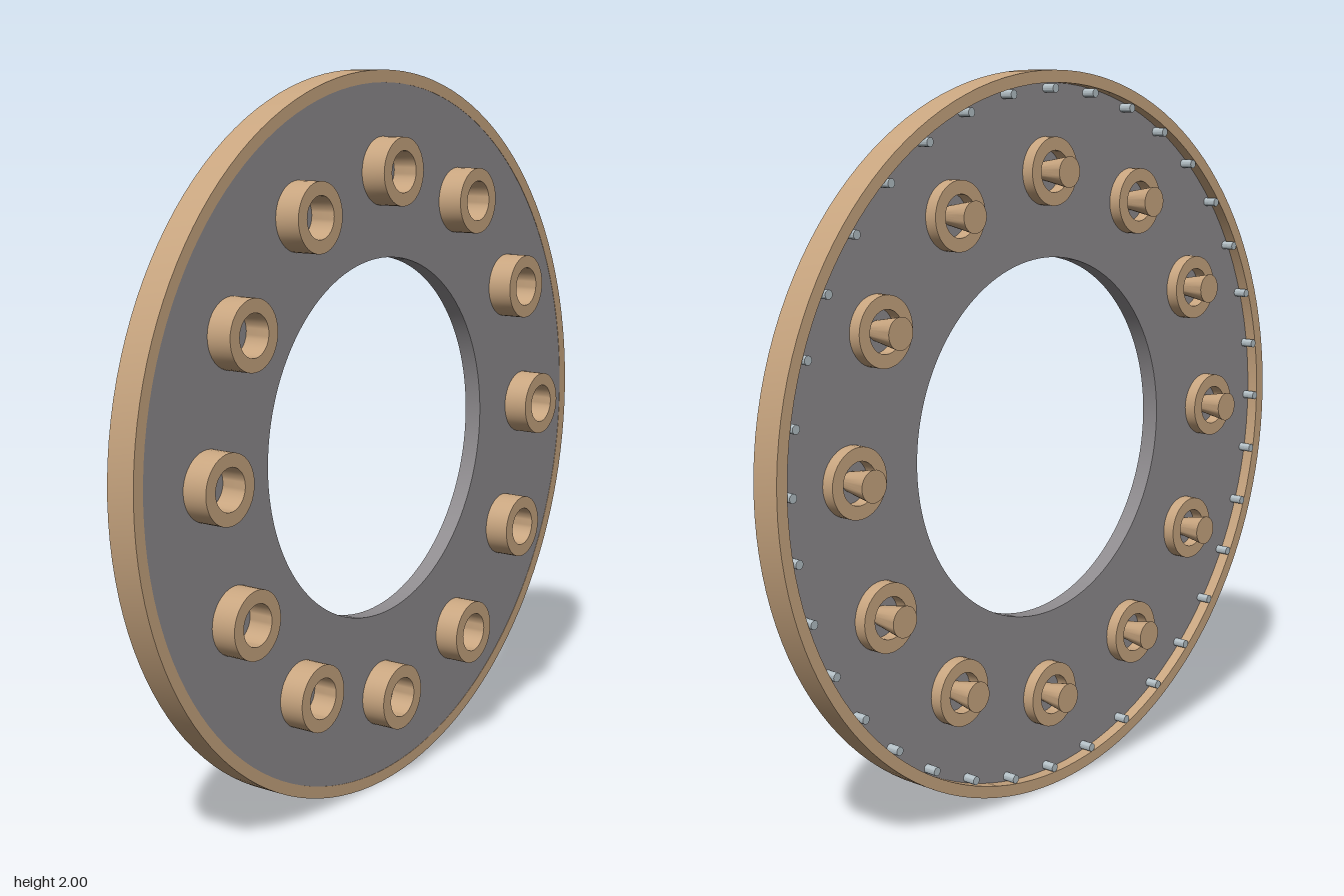
import * as THREE from 'three';
import { toCreasedNormals } from 'three/addons/utils/BufferGeometryUtils.js';

const tan = new THREE.MeshStandardMaterial({ color: 0xc9a680 });
tan.name = 'tan';
const grey = new THREE.MeshStandardMaterial({ color: 0x8f8c8f });
grey.name = 'grey';
const silver = new THREE.MeshStandardMaterial({ color: 0xb4c0c6 });
silver.name = 'silver';

// Revolves [radius, x] points about the x axis, keeping sharp edges.
function turned(points, segments) {
  const profile = points.map(([r, x]) => new THREE.Vector2(r, x));
  const geometry = new THREE.LatheGeometry(profile, segments);
  geometry.rotateZ(-Math.PI / 2);
  return toCreasedNormals(geometry, Math.PI / 6);
}

// Square-section ring between two radii and two x positions.
function ring(inner, outer, x0, x1, segments) {
  return turned([[inner, x0], [outer, x0], [outer, x1], [inner, x1], [inner, x0]], segments);
}

export function createModel() {
  const model = new THREE.Group();
  model.name = 'flangeRing';
  const disc = new THREE.Group();
  disc.name = 'disc';
  disc.position.y = 1;
  model.add(disc);

  function add(name, geometry, material, angle = 0, radius = 0) {
    const mesh = new THREE.Mesh(geometry, material);
    mesh.name = name;
    mesh.position.set(0, radius * Math.cos(angle), radius * Math.sin(angle));
    disc.add(mesh);
  }

  // Plate and the deeper rim around it, recessed on the -x side
  add('plate', ring(0.5, 0.967, -0.02, 0.03, 128), grey);
  add('rim', ring(0.967, 1, -0.053, 0.031, 128), tan);

  // Twelve bushings: tall collar on +x, short collar with a flared pin on -x
  const tallCollar = ring(0.056, 0.092, 0.03, 0.102, 40);
  const shortCollar = ring(0.056, 0.092, -0.055, -0.02, 40);
  const pin = turned([[0, -0.106], [0.042, -0.106], [0.026, -0.02], [0, -0.02]], 32);
  for (let i = 0; i < 12; i++) {
    const angle = (i / 12) * Math.PI * 2;
    add('tallCollar', tallCollar, tan, angle, 0.733);
    add('shortCollar', shortCollar, tan, angle, 0.733);
    add('flaredPin', pin, tan, angle, 0.733);
  }

  // Small pegs just inside the rim
  const peg = turned([[0, -0.057], [0.012, -0.057], [0.012, -0.02], [0, -0.02]], 16);
  for (let i = 0; i < 36; i++) {
    add('peg', peg, silver, (i / 36) * Math.PI * 2, 0.952);
  }
  return model;
}
